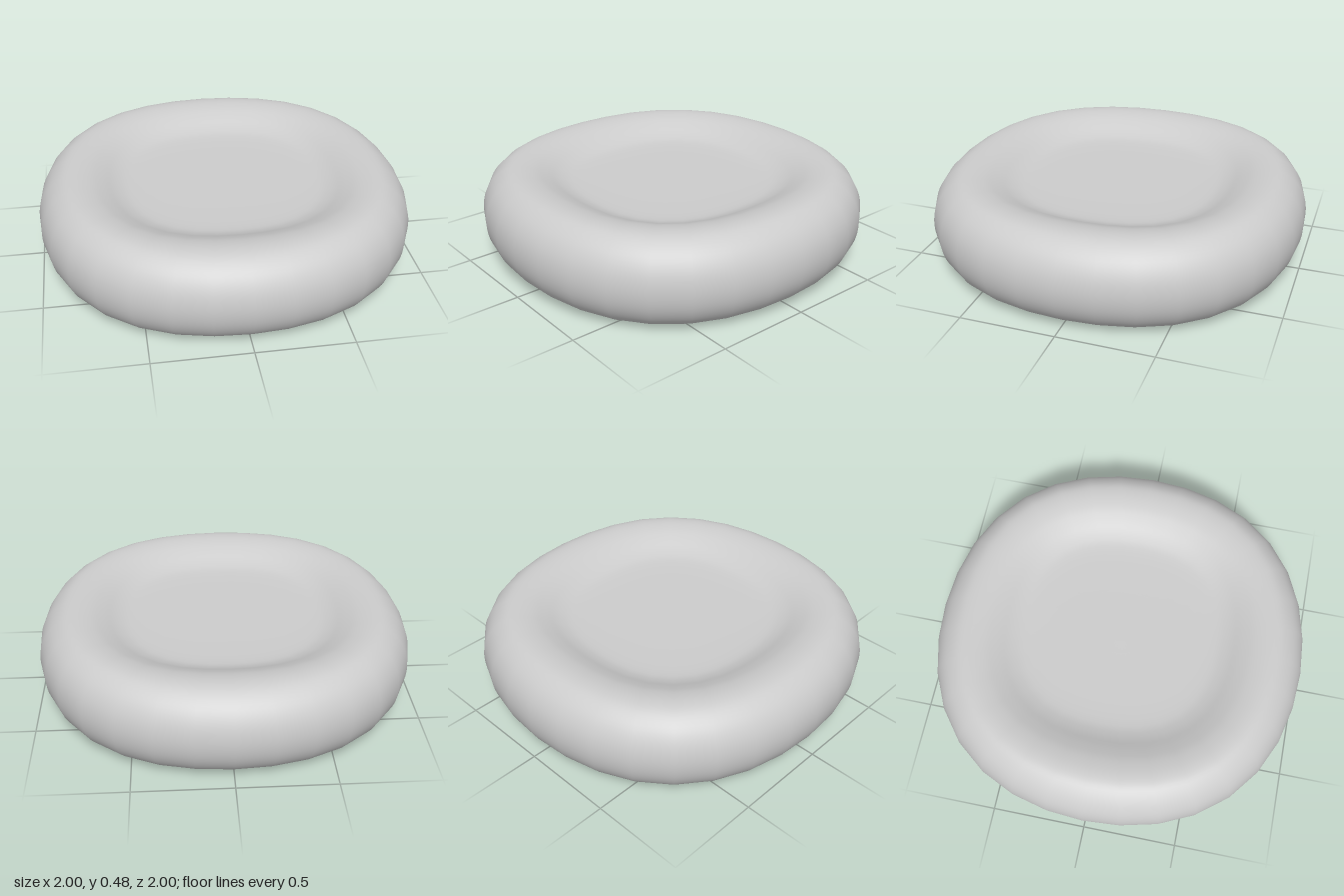
import * as THREE from 'three';
import { mergeVertices } from 'three/addons/utils/BufferGeometryUtils.js';

const HALF_HEIGHT = 0.238;

// Upper half of the cross-section, from the dimple centre out to the equator
const upper = [
  [0, 0.14], [0.25, 0.14], [0.48, 0.145], [0.57, 0.164], [0.65, 0.202], [0.72, 0.228],
  [0.8, HALF_HEIGHT], [0.87, 0.224], [0.94, 0.17], [0.985, 0.092], [1, 0],
];

export function createModel() {
  const group = new THREE.Group();
  group.name = 'dimpledDisc';

  // Full cross-section from the bottom centre around the rim to the top centre
  const lower = upper.map(([r, y]) => new THREE.Vector2(r, -y));
  const top = upper.slice(0, -1).reverse().map(([r, y]) => new THREE.Vector2(r, y));
  const profile = new THREE.SplineCurve([...lower, ...top]).getPoints(80);
  profile.forEach((p) => { p.x = Math.max(0, p.x); });
  profile[0].x = profile[80].x = 0;

  let geometry = new THREE.LatheGeometry(profile, 32);

  // Push the diagonals out a little: rounded-square plan, stronger at the dimple
  const pos = geometry.attributes.position;
  for (let i = 0; i < pos.count; i++) {
    const x = pos.getX(i), z = pos.getZ(i);
    const r = Math.hypot(x, z);
    const bulge = Math.sin(2 * Math.atan2(x, z)) ** 2;
    const k = 1 + bulge * (0.032 + 0.03 * THREE.MathUtils.clamp((1 - r) / 0.35, 0, 1));
    pos.setXYZ(i, x * k, pos.getY(i) + HALF_HEIGHT, z * k);
  }

  // Weld the seam and poles so the shading is smooth all round
  geometry.deleteAttribute('uv');
  geometry.deleteAttribute('normal');
  geometry = mergeVertices(geometry, 1e-4);
  geometry.computeVertexNormals();

  const disc = new THREE.Mesh(geometry, new THREE.MeshStandardMaterial({ color: 0xcccccc }));
  disc.name = 'disc';
  group.add(disc);
  return group;
}
